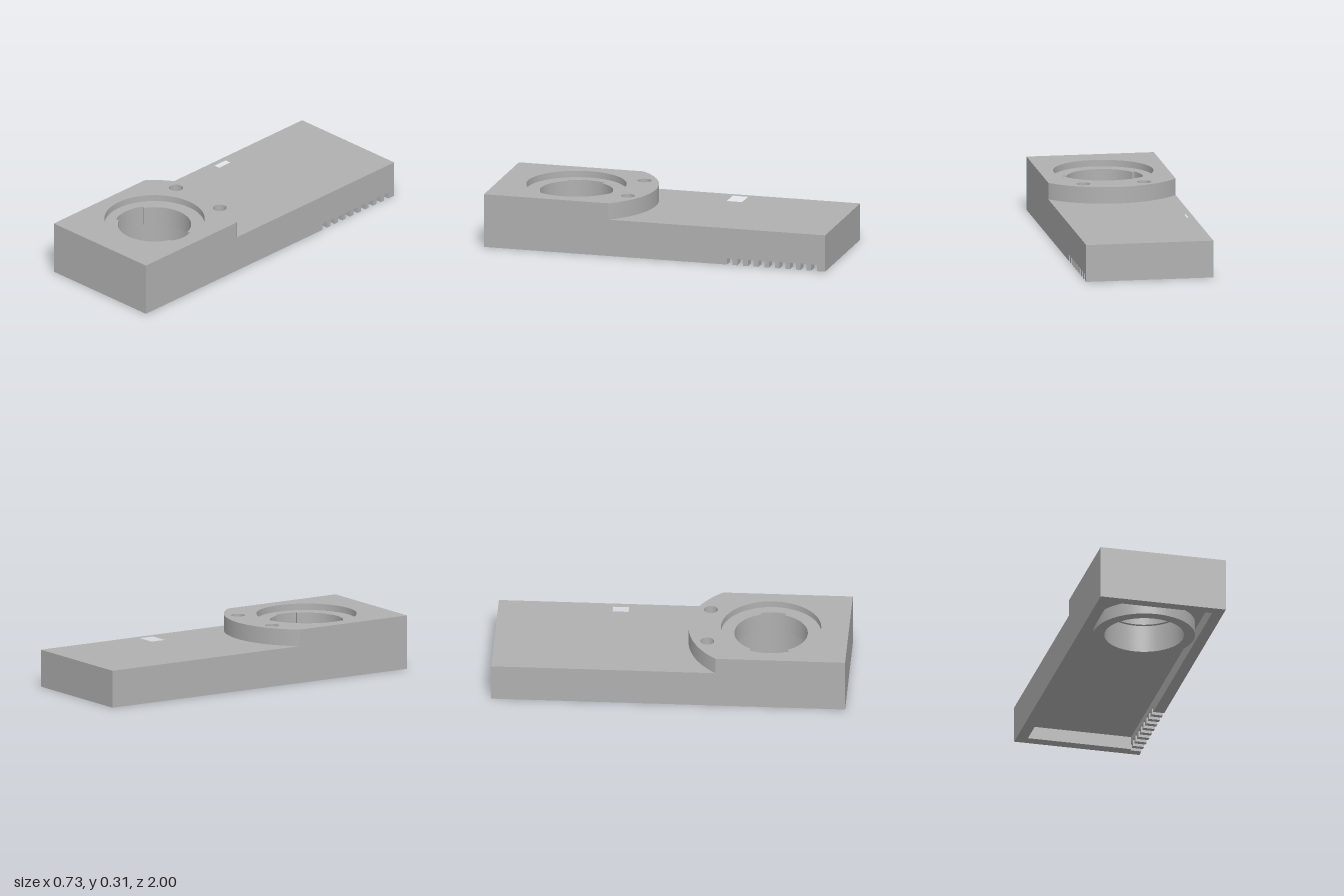
import * as THREE from 'three';
import { toCreasedNormals } from 'three/addons/utils/BufferGeometryUtils.js';

const HALF_W = 0.364, HALF_L = 1, WALL = 0.064;
const CZ = 0.56;            // z of the round socket
const BORE = 0.225, LIP = 0.207;
const Y = { ceiling: 0.075, lip: 0.16, deck: 0.212, recess: 0.27, top: 0.307 };

const grey = new THREE.MeshStandardMaterial({ color: 0xb0b0b0 });
grey.name = 'plain grey';

// Plan shapes use (x, -z), so they extrude upwards after rotation.
const rect = (Type, x0, x1, z0, z1) => new Type([
  [x0, z0], [x1, z0], [x1, z1], [x0, z1],
].map(([x, z]) => new THREE.Vector2(x, -z)));

const circle = (Type, x, z, r) => new Type().absarc(x, -z, r, 0, Math.PI * 2, false);

// Round opening with a wide key slot on the right and a wider one on the left
function lipHole() {
  const p = new THREE.Path();
  const right = 0.33, left = 0.51;
  p.absarc(0, -CZ, BORE, -right, right, false);
  p.absarc(0, -CZ, LIP, right, Math.PI - left, false);
  p.absarc(0, -CZ, BORE, Math.PI - left, Math.PI + left, false);
  p.absarc(0, -CZ, LIP, Math.PI + left, Math.PI * 2 - right, false);
  p.closePath();
  return p;
}

// Outline of the raised end, whose rear edge is an arc about the socket
function raisedOutline() {
  const r = 0.466, a = Math.acos(HALF_W / r);
  const s = new THREE.Shape();
  s.moveTo(-HALF_W, -HALF_L);
  s.lineTo(HALF_W, -HALF_L);
  s.absarc(0, -CZ, r, a, Math.PI - a, false);
  s.closePath();
  return s;
}

export function createModel() {
  const model = new THREE.Group();
  model.name = 'mountingPlate';

  const add = (name, geometry) => {
    const mesh = new THREE.Mesh(geometry, grey);
    mesh.name = name;
    model.add(mesh);
    return mesh;
  };
  const layer = (name, shape, holes, y0, y1) => {
    shape.holes.push(...holes);
    const g = new THREE.ExtrudeGeometry(shape, { depth: y1 - y0, bevelEnabled: false, curveSegments: 64 });
    g.rotateX(-Math.PI / 2).translate(0, y0, 0);
    return add(name, toCreasedNormals(g, 0.5));
  };
  const plate = () => rect(THREE.Shape, -HALF_W, HALF_W, -HALF_L, HALF_L);

  // Hollow underside: plain walls on three sides
  const h = Y.ceiling;
  const wall = (name, w, l, x, z) => add(name, new THREE.BoxGeometry(w, h, l).translate(x, h / 2, z));
  wall('rightWall', WALL, HALF_L * 2, -HALF_W + WALL / 2, 0);
  const endW = HALF_W * 2 - WALL * 2;
  wall('frontWall', endW, WALL, 0, HALF_L - WALL / 2);
  wall('backWall', endW, WALL, 0, -HALF_L + WALL / 2);

  // Fourth wall with nine vent notches along its lower edge, drawn in (-z, y)
  const side = new THREE.Shape();
  side.moveTo(-HALF_L, 0);
  for (let i = 0; i < 9; i++) {
    const u = 0.424 + i * 0.0618;
    side.lineTo(u, 0);
    side.lineTo(u, 0.037);
    side.lineTo(u + 0.034, 0.037);
    side.lineTo(u + 0.034, 0);
  }
  side.lineTo(HALF_L, 0);
  side.lineTo(HALF_L, h);
  side.lineTo(-HALF_L, h);
  const sideGeo = new THREE.ExtrudeGeometry(side, { depth: WALL, bevelEnabled: false });
  add('notchedLeftWall', sideGeo.rotateY(Math.PI / 2).translate(HALF_W - WALL, 0, 0));

  // Socket tube hanging below the ceiling
  layer('socketTube', circle(THREE.Shape, 0, CZ, 0.287), [circle(THREE.Path, 0, CZ, BORE)], 0, Y.ceiling);

  // Base slab, then the deck with two blind rectangular pockets
  layer('baseSlab', plate(), [circle(THREE.Path, 0, CZ, BORE)], Y.ceiling, Y.lip);
  layer('deck', plate(), [
    lipHole(),
    rect(THREE.Path, 0.207, 0.329, -0.352, -0.262),
    rect(THREE.Path, -0.332, -0.21, -0.352, -0.262),
  ], Y.lip, Y.deck);

  // Raised end: keyed lip, wide shallow recess above it and two screw holes
  const screws = () => [-0.173, 0.173].map((x) => circle(THREE.Path, x, 0.21, 0.039));
  layer('raisedEnd', raisedOutline(), [lipHole(), ...screws()], Y.deck, Y.recess);
  layer('recessRim', raisedOutline(), [circle(THREE.Path, 0, CZ, 0.283), ...screws()], Y.recess, Y.top);

  return model;
}
